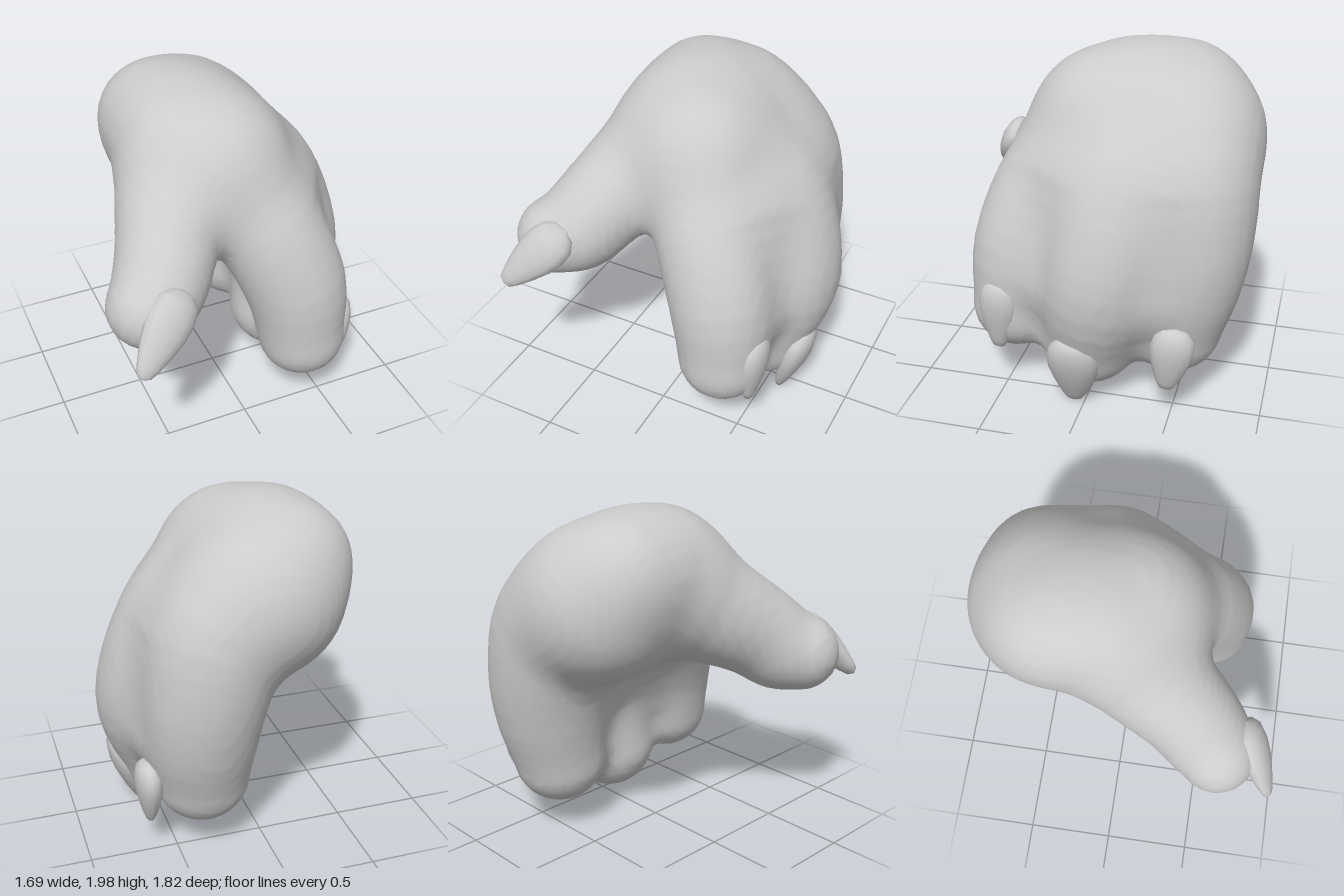
import * as THREE from 'three';

const V = (x, y, z) => new THREE.Vector3(x, y, z);
const material = new THREE.MeshStandardMaterial({ color: 0xcccccc });

// Each limb is a chain of balls [x, y, z, radius], smoothed and joined by tapered bones.
const LIMBS = [
  // back of the hand
  [[0, 1.51, 0, 0.44], [-0.06, 1.54, -0.24, 0.44], [-0.02, 1.48, -0.44, 0.45]],
  // wrist corner
  [[-0.21, 1.65, -0.08, 0.27], [-0.21, 1.65, -0.42, 0.29]],
  // thumb
  [[-0.25, 1.44, 0.05, 0.33], [-0.42, 1.25, 0.35, 0.28], [-0.52, 1.13, 0.49, 0.26], [-0.62, 1.09, 0.58, 0.225]],
  // front finger
  [[0.04, 1.44, 0.06, 0.35], [0.2, 1.2, 0.28, 0.315], [0.34, 0.85, 0.41, 0.3], [0.38, 0.49, 0.46, 0.26]],
  // middle finger
  [[0.1, 1.45, -0.2, 0.38], [0.3, 1.27, -0.15, 0.385], [0.44, 1.0, -0.12, 0.37], [0.5, 0.72, -0.07, 0.34], [0.43, 0.36, 0, 0.28]],
  // back finger
  [[0.05, 1.44, -0.42, 0.38], [0.23, 1.32, -0.51, 0.38], [0.32, 1.03, -0.54, 0.35], [0.35, 0.75, -0.52, 0.32], [0.34, 0.45, -0.47, 0.275]],
  // webs between the fingers, on the knuckle side
  [[0.27, 1.22, 0.08, 0.33], [0.42, 0.75, 0.21, 0.22]],
  [[0.28, 1.2, -0.35, 0.36], [0.45, 0.72, -0.33, 0.24]],
].map(smoothChain);

// Rounds the bends of a chain with splines through its centres and radii
function smoothChain(balls) {
  const centres = new THREE.CatmullRomCurve3(balls.map(([x, y, z]) => V(x, y, z)), false, 'catmullrom');
  const radii = new THREE.SplineCurve(balls.map((b) => new THREE.Vector2(b[3], 0)));
  const steps = (balls.length - 1) * 4;
  return Array.from({ length: steps + 1 }, (_, i) =>
    [...centres.getPoint(i / steps).toArray(), radii.getPoint(i / steps).x]);
}

// Distance to one tapered bone
function boneDistance(x, y, z, a, b) {
  const dx = b[0] - a[0], dy = b[1] - a[1], dz = b[2] - a[2];
  const px = x - a[0], py = y - a[1], pz = z - a[2];
  const t = Math.min(1, Math.max(0, (px * dx + py * dy + pz * dz) / (dx * dx + dy * dy + dz * dz)));
  const qx = px - t * dx, qy = py - t * dy, qz = pz - t * dz;
  return Math.sqrt(qx * qx + qy * qy + qz * qz) - (a[3] + t * (b[3] - a[3]));
}

// Distance to the whole hand, with the limbs blended softly together
function handDistance(x, y, z) {
  const blend = 0.13;
  let d = Infinity;
  for (const limb of LIMBS) {
    let e = Infinity;
    for (let i = 1; i < limb.length; i++) e = Math.min(e, boneDistance(x, y, z, limb[i - 1], limb[i]));
    const h = Math.max(blend - Math.abs(d - e), 0);
    d = Math.min(d, e) - h * h / (4 * blend);
  }
  return d;
}

// Wraps a quad skin around a distance field (one vertex per crossed grid cell)
function skinGeometry(field, min, size, step) {
  const n = size.map((s) => Math.ceil(s / step) + 1);
  const stride = [1, n[0], n[0] * n[1]];
  const at = (i, j, k) => i + j * stride[1] + k * stride[2];
  const value = new Float32Array(n[0] * n[1] * n[2]);
  const eachNode = (from, margin, fn) => {
    for (let k = from; k < n[2] - margin; k++)
      for (let j = from; j < n[1] - margin; j++)
        for (let i = from; i < n[0] - margin; i++) fn(i, j, k);
  };
  eachNode(0, 0, (i, j, k) => {
    value[at(i, j, k)] = field(min[0] + i * step, min[1] + j * step, min[2] + k * step);
  });

  // vertices: mean of the edge crossings in every mixed cell
  const positions = [], indices = [], cellVertex = new Map();
  eachNode(0, 1, (i, j, k) => {
    const sum = [0, 0, 0];
    let count = 0;
    for (let c = 0; c < 8; c++) {
      for (let axis = 0; axis < 3; axis++) {
        if (c & (1 << axis)) continue;
        const o = [c & 1, (c >> 1) & 1, c >> 2];
        const p = at(i + o[0], j + o[1], k + o[2]);
        const v0 = value[p], v1 = value[p + stride[axis]];
        if ((v0 < 0) === (v1 < 0)) continue;
        o[axis] += v0 / (v0 - v1);
        for (let q = 0; q < 3; q++) sum[q] += o[q];
        count++;
      }
    }
    if (!count) return;
    cellVertex.set(at(i, j, k), positions.length / 3);
    [i, j, k].forEach((g, q) => positions.push(min[q] + (g + sum[q] / count) * step));
  });

  // faces: a quad around every crossed grid edge
  eachNode(1, 1, (i, j, k) => {
    const p = at(i, j, k);
    for (let axis = 0; axis < 3; axis++) {
      const inside = value[p] < 0;
      if (inside === (value[p + stride[axis]] < 0)) continue;
      const u = stride[(axis + 1) % 3], v = stride[(axis + 2) % 3];
      const [a, b, c, d] = [p - u - v, p - v, p, p - u].map((cell) => cellVertex.get(cell));
      if (inside) indices.push(a, b, c, a, c, d);
      else indices.push(a, c, b, a, d, c);
    }
  });

  const geometry = new THREE.BufferGeometry();
  geometry.setAttribute('position', new THREE.Float32BufferAttribute(positions, 3));
  geometry.setIndex(indices);
  geometry.computeVertexNormals();
  return geometry;
}

// Flattened claw from its rounded base to its blunt tip; "out" faces away from the finger
function claw(name, base, tip, out, width, thickness) {
  const profile = [[0, 0], [0.55, 0.04], [0.88, 0.14], [1, 0.3], [0.94, 0.48], [0.74, 0.68], [0.5, 0.86], [0.32, 0.96], [0, 1]]
    .map(([r, t]) => new THREE.Vector2(r, t));
  const geometry = new THREE.LatheGeometry(profile, 14);
  const along = tip.clone().sub(base);
  const length = along.length();
  along.normalize();
  const side = along.clone().cross(out).normalize();
  const face = side.clone().cross(along);
  geometry.scale(width / 2, length, thickness / 2);
  geometry.applyMatrix4(new THREE.Matrix4().makeBasis(side, along, face).setPosition(base));
  const mesh = new THREE.Mesh(geometry, material);
  mesh.name = name;
  return mesh;
}

export function createModel() {
  const group = new THREE.Group();
  group.name = 'clawedHand';

  const hand = new THREE.Mesh(skinGeometry(handDistance, [-1, -0.1, -1.1], [2, 2.25, 2.1], 0.04), material);
  hand.name = 'hand';
  group.add(hand);

  group.add(
    claw('thumbClaw', V(-0.46, 1.25, 0.71), V(-0.78, 0.91, 0.91), V(0, 0.35, 1), 0.27, 0.16),
    claw('frontFingerClaw', V(0.605, 0.73, 0.49), V(0.575, 0.28, 0.52), V(1, 0, 0.1), 0.24, 0.15),
    claw('middleFingerClaw', V(0.73, 0.49, 0.03), V(0.585, 0.005, 0.065), V(1, -0.2, 0), 0.31, 0.17),
    claw('backFingerClaw', V(0.66, 0.6, -0.53), V(0.65, 0.2, -0.48), V(1, 0, -0.1), 0.25, 0.15),
  );
  return group;
}
